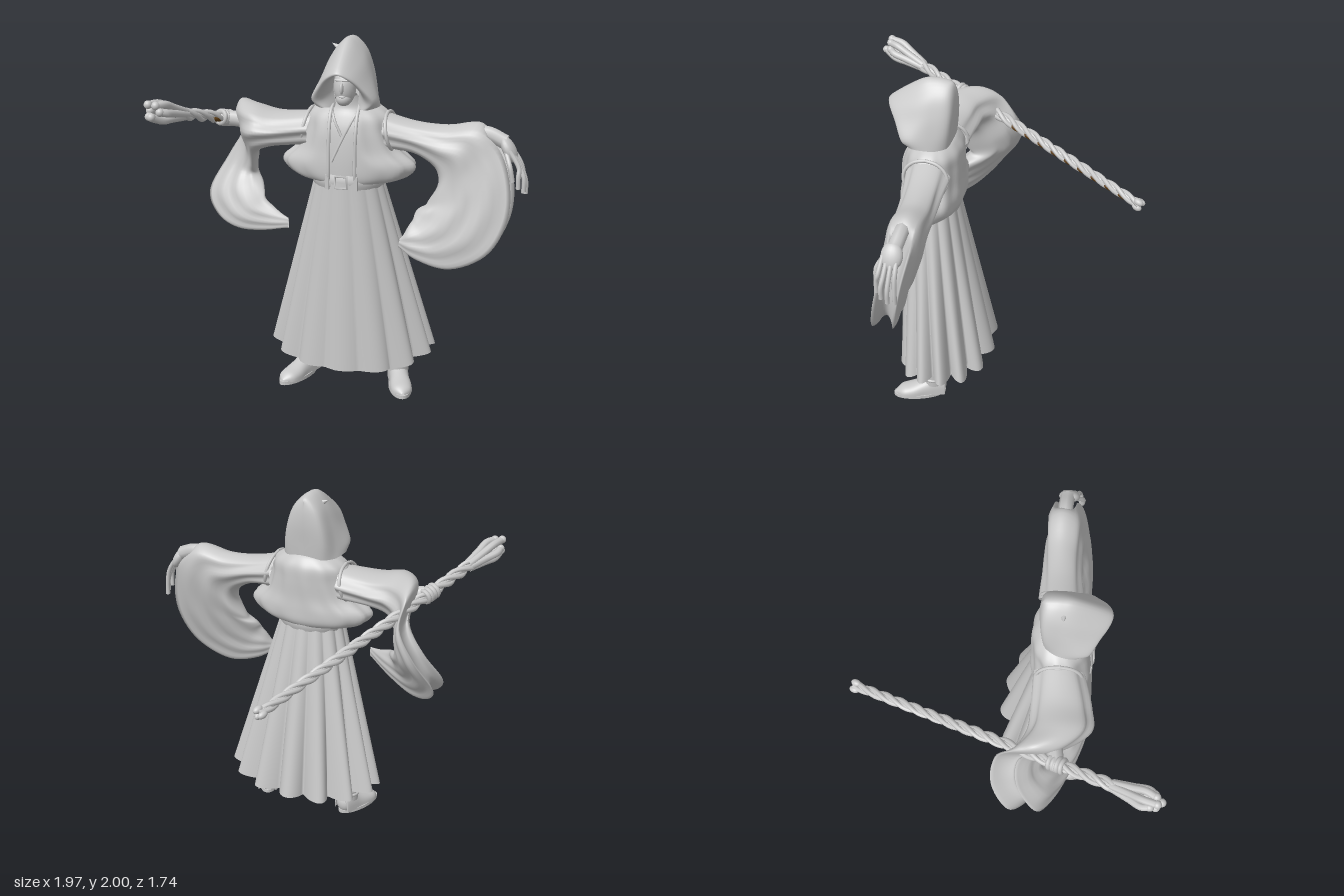
import * as THREE from 'three';

const V = (x, y, z) => new THREE.Vector3(x, y, z);

// Catmull-Rom sampling of a list of equal-length number arrays, u in 0..1
function sample(rows, u) {
  const n = rows.length - 1, i = Math.min(Math.floor(u * n), n - 1), f = u * n - i;
  const at = k => rows[Math.max(0, Math.min(n, k))];
  const [a, b, c, d] = [at(i - 1), at(i), at(i + 1), at(i + 2)];
  return b.map((v, k) => v + 0.5 * f * (c[k] - a[k] + f * (2 * a[k] - 5 * v + 4 * c[k] - d[k] + f * (3 * (v - c[k]) + d[k] - a[k]))));
}

// Smooth surface over a grid: fn(u, v) gives a point; wrap joins the v edges
function surface(fn, nu, nv, wrap) {
  const pos = [], idx = [], cols = wrap ? nv : nv + 1;
  for (let i = 0; i <= nu; i++) for (let j = 0; j < cols; j++) pos.push(...fn(i / nu, j / nv));
  for (let i = 0; i < nu; i++) for (let j = 0; j < nv; j++) {
    const a = i * cols + j, b = i * cols + (j + 1) % cols, c = a + cols, d = b + cols;
    idx.push(a, b, c, b, d, c);
  }
  const g = new THREE.BufferGeometry();
  g.setAttribute('position', new THREE.Float32BufferAttribute(pos, 3));
  g.setIndex(idx);
  g.computeVertexNormals();
  return g;
}

export function createModel() {
  const cloth = new THREE.MeshStandardMaterial({ color: 0xc8c8c8, side: THREE.DoubleSide });
  cloth.name = 'stone grey';
  const brown = new THREE.MeshStandardMaterial({ color: 0x5c3c14 });
  brown.name = 'staff brown';
  const root = new THREE.Group();
  const add = (name, geo, parent = root, mat = cloth) => {
    const m = new THREE.Mesh(geo, mat);
    m.name = name;
    parent.add(m);
    return m;
  };
  const tube = (name, pts, r, parent = root, seg = 20) =>
    add(name, new THREE.TubeGeometry(new THREE.CatmullRomCurve3(pts.map(p => V(...p))), seg, r, 8), parent);
  const ball = (name, p, s, parent = root, mat = cloth) => {
    const m = add(name, new THREE.SphereGeometry(1, 20, 14), parent, mat);
    m.position.set(...p);
    m.scale.set(...s);
    return m;
  };

  // Pleated skirt: angle 0 faces the front, t runs from waist to hem
  const skirt = (a, t, off = 0) => {
    const back = (1 - Math.cos(a)) / 2, amp = (0.04 + 0.1 * back) * (0.25 + 0.75 * t);
    const fold = 1.01 - amp * 2 * (1 - Math.abs(Math.sin(a * 7 + Math.PI / 2)));
    const rx = (0.19 + 0.285 * t) * fold + off, rz = (0.15 + 0.125 * t) * fold + off;
    const hem = 0.14 + 0.07 * Math.sin(a) ** 4 + 0.03 * back;
    return [Math.sin(a) * rx, 1.23 + (hem - 1.23) * t, 0.31 - 0.08 * t + Math.cos(a) * rz];
  };
  add('skirt', surface((u, v) => skirt(v * Math.PI * 2, u), 24, 224, true));
  add('skirtHem', surface((u, v) => {
    const p = skirt(v * Math.PI * 2, 1, -0.06 * u);
    return [p[0], p[1] + 0.03 * Math.sin(u * Math.PI / 2), p[2]];
  }, 4, 224, true));
  // Overlapping front panels
  for (const [a0, a1, b0, b1, off] of [[-0.45, 0.0, -0.32, -0.06, 0.006], [-0.3, 0.4, -0.08, 0.26, 0.014]])
    add('skirtPanel', surface((u, v) => skirt((a0 + (b0 - a0) * u) * (1 - v) + (a1 + (b1 - a1) * u) * v, u * 0.995, off), 24, 20, false));

  // Inner tunic
  const tunic = [[1.2, 0.18, 0.14, 0.31], [1.35, 0.21, 0.145, 0.305], [1.5, 0.21, 0.14, 0.295],
    [1.58, 0.17, 0.12, 0.29], [1.63, 0.09, 0.085, 0.3], [1.69, 0.05, 0.055, 0.33]];
  add('tunic', surface((u, v) => {
    const [y, rx, rz, z] = sample(tunic, u), a = v * Math.PI * 2;
    return [Math.sin(a) * rx, y, z + Math.cos(a) * rz];
  }, 20, 40, true));

  // Open jacket, blousing over the belt
  const jacket = [[1.23, 0.19, 0.14, 0.31], [1.225, 0.27, 0.155, 0.305], [1.26, 0.345, 0.17, 0.3], [1.32, 0.37, 0.172, 0.3],
    [1.4, 0.285, 0.168, 0.3], [1.5, 0.24, 0.165, 0.295], [1.58, 0.225, 0.15, 0.285], [1.63, 0.16, 0.115, 0.28], [1.65, 0.1, 0.09, 0.28]];
  const jacketAt = (u, v) => {
    const [y, rx, rz, z] = sample(jacket, u), gap = Math.asin(Math.min(0.9, 0.075 / rx));
    const a = gap + v * (Math.PI * 2 - 2 * gap);
    const k = 1 + 0.025 * Math.sin(a * 13 + u * 5) * Math.sin(Math.PI * u) ** 2;
    return [Math.sin(a) * rx * k, y, z + Math.cos(a) * rz * k];
  };
  add('jacket', surface(jacketAt, 36, 72, false));
  for (const v of [0, 1])
    tube('jacketEdge', [0.08, 0.25, 0.45, 0.65, 0.8, 0.95].map(u => jacketAt(u, v)), 0.01);
  // Collar: the left edge crosses over the right one
  tube('collarFold', [[0.08, 1.64, 0.37], [0.05, 1.57, 0.423], [0, 1.47, 0.44], [-0.06, 1.34, 0.448]], 0.007);
  tube('collarFold', [[-0.08, 1.64, 0.37], [-0.05, 1.57, 0.423], [-0.005, 1.48, 0.438]], 0.007);
  // Armhole seams
  for (const s of [-1, 1]) {
    const ring = Array.from({ length: 13 }, (_, i) => {
      const a = i / 12 * Math.PI * 2;
      return [s * (0.235 - 0.02 * Math.cos(a)), 1.495 + 0.105 * Math.cos(a), 0.29 + 0.125 * Math.sin(a)];
    });
    tube('armholeSeam', ring, 0.01, root, 40);
  }

  // Belt, buckle and loops
  add('belt', surface((u, v) => {
    const a = v * Math.PI * 2, k = 1 + 0.06 * Math.sin(u * Math.PI);
    return [Math.sin(a) * 0.197 * k, 1.19 + u * 0.08, 0.31 + Math.cos(a) * 0.155 * k];
  }, 6, 48, true));
  const buckle = add('buckle', new THREE.TorusGeometry(0.046, 0.009, 6, 4));
  buckle.position.set(0, 1.235, 0.478);
  buckle.rotation.z = Math.PI / 4;
  for (const x of [-0.08, 0.08]) add('beltLoop', new THREE.BoxGeometry(0.02, 0.08, 0.02)).position.set(x, 1.23, 0.462);

  // Hood: half arches from neck to crown, back first, rim then lining
  const hood = [
    [0, 1.61, 0.185, 0, 1.72, 0.175, 0, 1.82, 0.165, 0, 1.9, 0.165, 0, 1.97, 0.175],
    [0.11, 1.61, 0.2, 0.115, 1.72, 0.19, 0.1, 1.83, 0.185, 0.065, 1.93, 0.19, 0, 1.99, 0.2],
    [0.165, 1.63, 0.27, 0.155, 1.7, 0.28, 0.125, 1.82, 0.28, 0.08, 1.93, 0.28, 0, 2.0, 0.28],
    [0.18, 1.64, 0.37, 0.18, 1.69, 0.38, 0.135, 1.79, 0.38, 0.085, 1.89, 0.38, 0, 1.98, 0.37],
    [0.13, 1.63, 0.42, 0.17, 1.68, 0.44, 0.115, 1.77, 0.485, 0.06, 1.83, 0.525, 0, 1.86, 0.54],
    [0.095, 1.63, 0.41, 0.125, 1.68, 0.43, 0.085, 1.76, 0.465, 0.045, 1.81, 0.5, 0, 1.835, 0.515],
    [0.055, 1.62, 0.35, 0.07, 1.7, 0.36, 0.065, 1.78, 0.37, 0.045, 1.82, 0.38, 0, 1.85, 0.38]];
  add('hood', surface((u, v) => {
    const r = sample(hood, u), half = [0, 1, 2, 3, 4].map(i => r.slice(i * 3, i * 3 + 3));
    const arch = half.concat(half.slice(0, 4).reverse().map(([x, y, z]) => [-x, y, z]));
    return sample(arch, v);
  }, 36, 40, false));
  const pinch = add('hoodPinch', new THREE.ConeGeometry(0.03, 0.08, 12));
  pinch.position.set(-0.065, 1.94, 0.29);
  pinch.rotation.z = 1.05;

  // Face in the hood
  const head = new THREE.Group();
  head.name = 'head';
  root.add(head);
  ball('face', [0, 1.745, 0.385], [0.06, 0.1, 0.07], head);
  ball('jaw', [0, 1.685, 0.41], [0.042, 0.04, 0.045], head);
  ball('nose', [0, 1.748, 0.452], [0.011, 0.032, 0.018], head);
  ball('lips', [0, 1.702, 0.449], [0.02, 0.006, 0.009], head);
  ball('brow', [0, 1.79, 0.436], [0.045, 0.01, 0.014], head);

  // Wide sleeves: outer point, inner point, half depth, mouth groove
  const sleeve = (name, rows) => add(name, surface((u, v) => {
    const [ax, ay, az, bx, by, bz, t, w] = sample(rows, u), a = v * Math.PI * 2;
    let c = Math.cos(a);
    if (c > 0.7) c -= 2 * w * (c - 0.7);
    c /= 1 - 0.3 * w;
    const k = (1 + c) / 2, d = t * Math.sin(a) * (1 + 0.08 * Math.sin(c * 8 + u * 9));
    return [bx + (ax - bx) * k, by + (ay - by) * k, bz + (az - bz) * k + d];
  }, 60, 48, true));
  sleeve('leftSleeve', [
    [0.2, 1.59, 0.28, 0.22, 1.39, 0.28, 0.12, 0], [0.36, 1.55, 0.27, 0.36, 1.38, 0.28, 0.105, 0],
    [0.54, 1.54, 0.26, 0.47, 1.32, 0.29, 0.1, 0], [0.74, 1.57, 0.26, 0.51, 1.25, 0.3, 0.1, 0.2],
    [0.84, 1.45, 0.27, 0.52, 1.19, 0.31, 0.095, 0.9], [0.905, 1.26, 0.31, 0.52, 1.13, 0.33, 0.09, 1],
    [0.9, 1.06, 0.35, 0.49, 1.08, 0.35, 0.085, 1], [0.8, 0.88, 0.39, 0.46, 1.03, 0.37, 0.075, 1],
    [0.6, 0.785, 0.41, 0.42, 0.99, 0.39, 0.06, 1], [0.41, 0.82, 0.42, 0.36, 0.96, 0.41, 0.045, 0.8],
    [0.31, 0.88, 0.43, 0.32, 0.93, 0.43, 0.01, 0]]);
  sleeve('rightSleeve', [
    [-0.2, 1.58, 0.29, -0.22, 1.39, 0.29, 0.13, 0], [-0.4, 1.57, 0.31, -0.4, 1.38, 0.32, 0.155, 0],
    [-0.55, 1.6, 0.3, -0.5, 1.35, 0.32, 0.16, 0], [-0.68, 1.59, 0.17, -0.55, 1.31, 0.27, 0.13, 0.2],
    [-0.68, 1.42, 0.04, -0.59, 1.24, 0.2, 0.1, 0.9], [-0.78, 1.24, 0.03, -0.61, 1.18, 0.17, 0.1, 1],
    [-0.865, 1.05, 0.13, -0.59, 1.12, 0.22, 0.1, 1], [-0.79, 0.93, 0.22, -0.55, 1.07, 0.29, 0.085, 1],
    [-0.64, 0.885, 0.31, -0.5, 1.04, 0.36, 0.07, 1], [-0.45, 0.91, 0.41, -0.4, 1.02, 0.42, 0.045, 0.8],
    [-0.3, 0.95, 0.48, -0.3, 1.01, 0.48, 0.01, 0]]);

  // Left hand, drooping fingers
  const leftHand = new THREE.Group();
  leftHand.name = 'leftHand';
  root.add(leftHand);
  tube('forearm', [[0.6, 1.48, 0.27], [0.75, 1.51, 0.27], [0.86, 1.47, 0.28]], 0.042, leftHand);
  ball('palm', [0.88, 1.435, 0.29], [0.035, 0.075, 0.06], leftHand).rotation.z = 0.5;
  [[0.96, 1.19, 0.26], [0.975, 1.2, 0.295], [0.97, 1.22, 0.33], [0.945, 1.24, 0.36]].forEach(([x, y, z], i) =>
    tube('finger', [[0.89, 1.44, 0.26 + i * 0.025], [0.945, 1.35, 0.26 + i * 0.03], [x, y + 0.07, z], [x, y, z]], 0.013, leftHand));
  tube('thumb', [[0.87, 1.43, 0.33], [0.9, 1.36, 0.37], [0.915, 1.28, 0.37]], 0.013, leftHand);

  // Staff: twisted strands round a core, along local +z
  const staff = new THREE.Group();
  staff.name = 'staff';
  const end = V(-0.25, 1.185, -0.84), tip = V(-0.925, 1.65, 0.81), len = end.distanceTo(tip);
  staff.position.copy(end);
  staff.lookAt(tip);
  root.add(staff);
  tube('staffCore', [[0, 0, 0.02], [0, 0, len / 2], [0, 0, len - 0.06]], 0.018, staff);
  for (let k = 0; k < 3; k++) {
    const pts = Array.from({ length: 73 }, (_, i) => {
      const t = i / 72, a = t * 38 + k * Math.PI * 2 / 3, r = 0.016 + 0.008 * t;
      return [Math.cos(a) * r, Math.sin(a) * r, t * (len - 0.1)];
    });
    tube('staffStrand', pts, 0.014, staff, 160);
  }
  // Brown wood in the gaps between the strands on one side, and below the grip
  for (const m of [1, 2, 3, 4, 5, 6, 7, 8, 9, 13, 14]) {
    const t = (-0.7 + (2 * m + 1) * Math.PI / 3) / 38, r = 0.014 + 0.008 * t;
    ball('staffWood', [Math.cos(0.7) * r, -Math.sin(0.7) * r, t * (len - 0.1)], [0.013, 0.013, 0.04], staff, brown);
  }
  // Root-like claws at the head, knots at the foot
  for (let k = 0; k < 6; k++) {
    const a = k * Math.PI / 3, c = Math.cos(a), s = Math.sin(a), e = len + 0.02 * (k % 3 - 0.5);
    tube('staffClaw', [[c * 0.015, s * 0.015, len - 0.24], [c * 0.035, s * 0.035, len - 0.13],
      [c * 0.05, s * 0.05, len - 0.05], [c * 0.035, s * 0.035, e]], 0.021, staff);
    ball('clawTip', [c * 0.036, s * 0.036, e], [0.023, 0.023, 0.023], staff);
    if (k % 2) ball('footKnot', [c * 0.022, s * 0.022, 0.01], [0.02, 0.02, 0.03], staff);
  }

  // Right hand gripping the staff
  const rightHand = new THREE.Group();
  rightHand.name = 'rightHand';
  root.add(rightHand);
  tube('forearm', [[-0.55, 1.48, 0.28], [-0.65, 1.5, 0.29], [-0.71, 1.505, 0.3]], 0.045, rightHand);
  ball('palm', [-0.72, 1.505, 0.31], [0.045, 0.045, 0.055], rightHand);
  for (let k = 0; k < 4; k++)
    add('gripFinger', new THREE.TorusGeometry(0.034, 0.014, 8, 20), staff).position.z = len * 0.675 + k * 0.024;

  // Legs and boots, toes turned out
  for (const s of [-1, 1]) {
    const foot = new THREE.Group();
    foot.name = s > 0 ? 'leftBoot' : 'rightBoot';
    foot.position.set(s * 0.275, 0, 0.26);
    foot.rotation.y = s * 0.35;
    root.add(foot);
    add('leg', new THREE.CylinderGeometry(0.075, 0.058, 0.42, 20), foot).position.y = 0.29;
    const outline = new THREE.Shape();
    outline.absellipse(0, 0, 0.064, 0.155, 0, Math.PI * 2);
    const sole = add('sole', new THREE.ExtrudeGeometry(outline, { depth: 0.02, bevelEnabled: false, curveSegments: 20 }), foot);
    sole.rotation.x = -Math.PI / 2;
    sole.position.z = 0.085;
    const boot = [[-0.06, 0.05, 0.1], [-0.055, 0.057, 0.13], [0.01, 0.057, 0.13], [0.06, 0.057, 0.1],
      [0.13, 0.062, 0.075], [0.19, 0.052, 0.06], [0.23, 0.01, 0.03]];
    add('bootUpper', surface((u, v) => {
      const [z, w, h] = sample(boot, u), a = v * Math.PI;
      return [Math.cos(a) * w, 0.015 + Math.max(0, Math.sin(a)) ** 0.7 * (h - 0.015), z];
    }, 24, 20, false), foot);
    ball('heel', [0, 0.06, -0.03], [0.053, 0.06, 0.045], foot);
    const cuff = add('bootCuff', new THREE.TorusGeometry(0.058, 0.01, 8, 24), foot);
    cuff.rotation.x = Math.PI / 2;
    cuff.position.y = 0.125;
  }
  return root;
}
